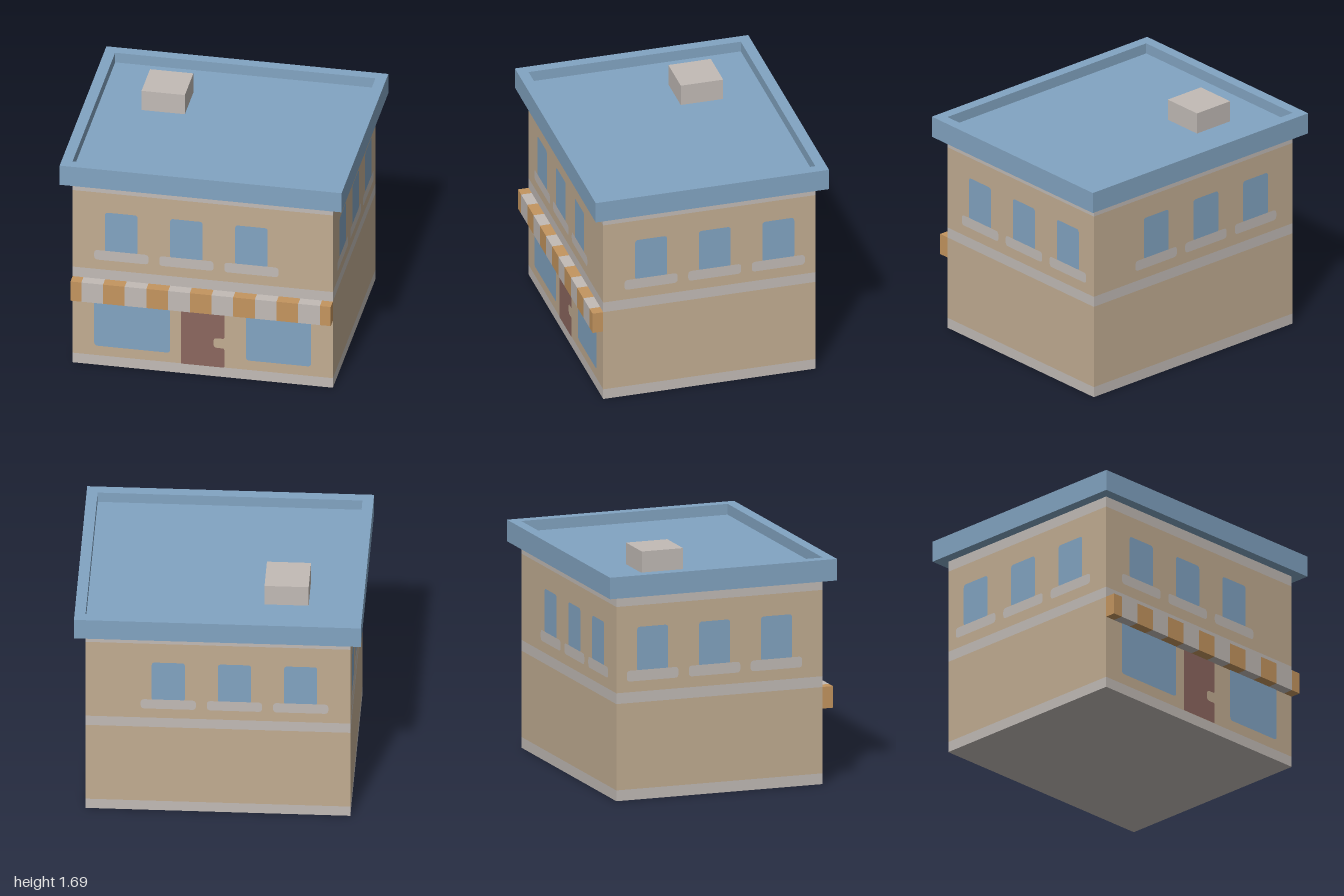
import * as THREE from 'three';

const U = 1 / 13; // building module: body is 24 x 19 x 20 modules
const W = 24, D = 20;

const mat = (name, color) => {
  const m = new THREE.MeshStandardMaterial({ color });
  m.name = name;
  return m;
};

export function createModel() {
  const tan = mat('tanWall', 0xc2ad92);
  const grey = mat('greyStone', 0xc2bbb6);
  const blue = mat('blue', 0x82a4c2);
  const orange = mat('orange', 0xc4955f);
  const maroon = mat('maroonDoor', 0x8c675f);

  const model = new THREE.Group();
  model.name = 'shopBuilding';

  const add = (parent, name, geometry, material) => {
    const mesh = new THREE.Mesh(geometry, material);
    mesh.name = name;
    parent.add(mesh);
    return mesh;
  };

  // box given by its limits in modules
  const box = (parent, name, material, x0, x1, y0, y1, z0, z1) => {
    const g = new THREE.BoxGeometry((x1 - x0) * U, (y1 - y0) * U, (z1 - z0) * U);
    g.translate((x0 + x1) / 2 * U, (y0 + y1) / 2 * U, (z0 + z1) / 2 * U);
    return add(parent, name, g, material);
  };

  // closed shape with softened corners; points are [x, y, radius] in modules
  const softShape = (points) => {
    const s = new THREE.Shape();
    const n = points.length;
    points.forEach(([x, y, r], i) => {
      const toward = ([px, py]) => {
        const l = Math.hypot(px - x, py - y);
        return [(x + (px - x) / l * r) * U, (y + (py - y) / l * r) * U];
      };
      const a = toward(points[(i + n - 1) % n]);
      const b = toward(points[(i + 1) % n]);
      if (i === 0) s.moveTo(...a); else s.lineTo(...a);
      if (r > 0) s.quadraticCurveTo(x * U, y * U, ...b);
    });
    s.closePath();
    return s;
  };
  const softRect = (x0, x1, y0, y1, r, rTop = r) =>
    softShape([[x0, y0, r], [x1, y0, r], [x1, y1, rTop], [x0, y1, rTop]]);
  const paint = (parent, name, shape, material) =>
    add(parent, name, new THREE.ShapeGeometry(shape, 6), material).position.z = 0.003;

  // walls and stone bands, stacked from the ground up
  [
    ['baseBand', grey, 0, 1], ['lowerWall', tan, 1, 9], ['middleBand', grey, 9, 10],
    ['upperWall', tan, 10, 18], ['topBand', grey, 18, 19],
  ].forEach(([name, m, y0, y1]) => box(model, name, m, -W / 2, W / 2, y0, y1, -D / 2, D / 2));

  // one facade per side, facing outwards, with three windows and their sills
  const facade = (name, angle, distance, width, firstWindow) => {
    const side = new THREE.Group();
    side.name = name;
    side.rotation.y = angle;
    side.position.set(Math.sin(angle) * distance * U, 0, Math.cos(angle) * distance * U);
    for (let i = 0; i < 3; i++) {
      const x = firstWindow + i * 6 - width / 2;
      paint(side, 'upperWindow', softRect(x, x + 3, 12, 16, 0.12, 0.3), blue);
      paint(side, 'windowSill', softRect(x - 1, x + 4, 11, 12, 0.35), grey);
    }
    model.add(side);
    return side;
  };
  const front = facade('frontFacade', 0, D / 2, W, 3);
  facade('leftFacade', Math.PI / 2, W / 2, D, 3);
  facade('backFacade', Math.PI, D / 2, W, 6);
  facade('rightFacade', -Math.PI / 2, W / 2, D, 2);

  // shop windows and the door with its handle notch
  paint(front, 'shopWindow', softRect(-10, -3, 2, 7, 0.35, 0), blue);
  paint(front, 'shopWindow', softRect(4, 10, 2, 7, 0.35, 0), blue);
  paint(front, 'door', softShape([
    [-2, 1, 0.1], [2, 1, 0.1], [2, 3, 0.2], [1, 3, 0.35],
    [1, 4, 0.35], [2, 4, 0.2], [2, 7, 0], [-2, 7, 0],
  ]), maroon);

  // striped awning
  const awning = new THREE.Group();
  awning.name = 'awning';
  model.add(awning);
  for (let i = 0; i <= 12; i++) {
    const x0 = Math.max(-12, 2 * i - 13), x1 = Math.min(12, 2 * i - 11);
    box(awning, 'awningStripe', i % 2 ? grey : orange, x0, x1, 7, 9, 10, 11);
  }

  // roof rim around a sunken deck
  const rim = softShape([[-13, -11, 0], [13, -11, 0], [13, 11, 0], [-13, 11, 0]]);
  rim.holes.push(softShape([[-12, -10, 0], [-12, 10, 0], [12, 10, 0], [12, -10, 0]]));
  const rimGeometry = new THREE.ExtrudeGeometry(rim, { depth: 2 * U, bevelEnabled: false });
  rimGeometry.rotateX(-Math.PI / 2).translate(0, 19 * U, 0);
  add(model, 'roofRim', rimGeometry, blue);
  box(model, 'roofDeck', blue, -12, 12, 19, 20, -10, 10);

  // roof vent
  box(model, 'roofVent', grey, -8, -4, 20, 22, -6, -2);

  return model;
}
